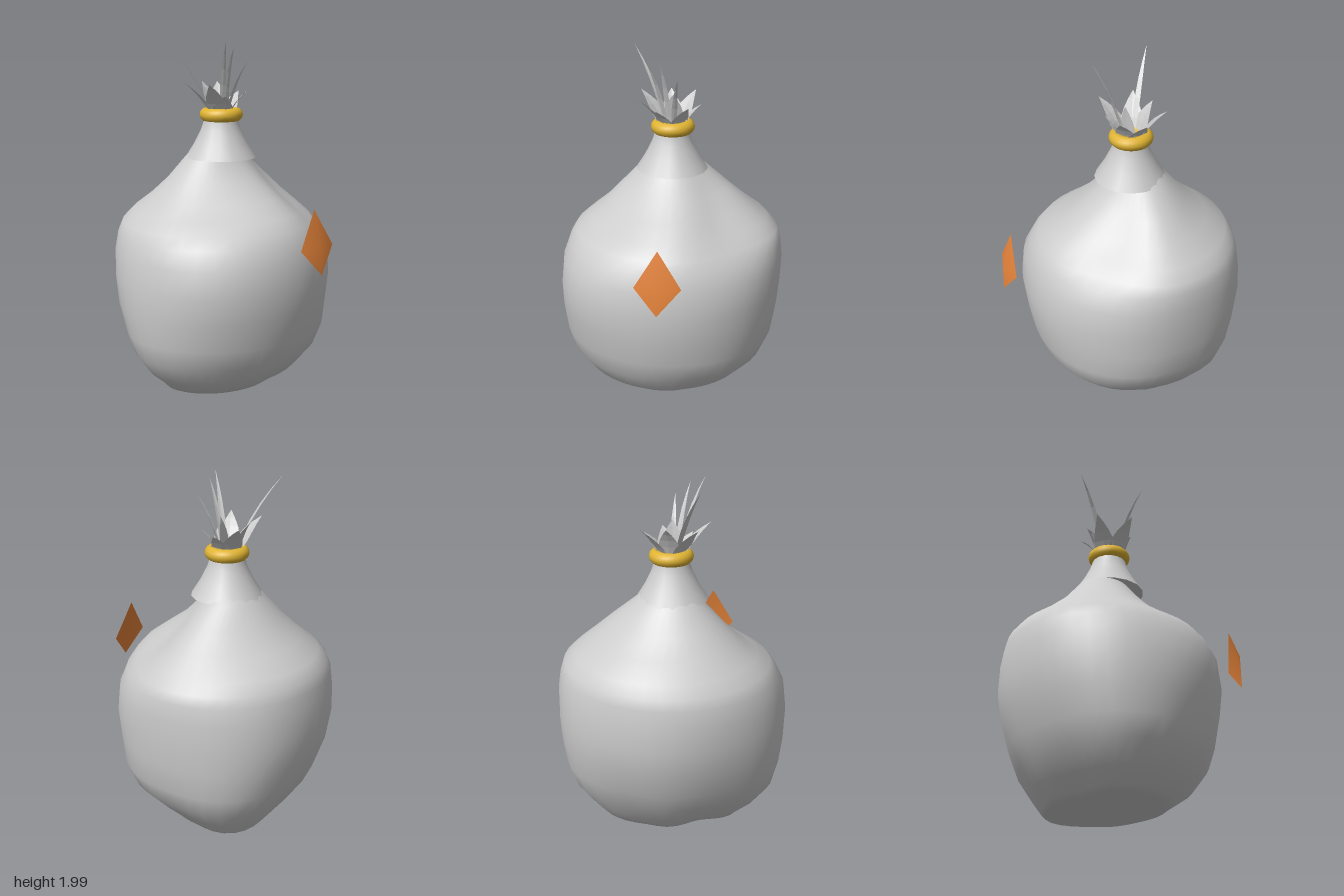
import * as THREE from 'three';

const mat = (name, color, side = THREE.FrontSide) => {
  const m = new THREE.MeshStandardMaterial({ color, side });
  m.name = name;
  return m;
};

export function createModel() {
  const group = new THREE.Group();
  const cloth = mat('grey cloth', 0xcccccc);
  const leafGrey = mat('grey leaf', 0xcccccc, THREE.DoubleSide);
  leafGrey.flatShading = true;
  const gold = mat('gold', 0xe0b433);
  const orange = mat('orange', 0xe5833a, THREE.DoubleSide);
  const axisZ = -0.08; // neck axis

  const add = (name, geometry, material, parent = group) => {
    const mesh = new THREE.Mesh(geometry, material);
    mesh.name = name;
    parent.add(mesh);
    return mesh;
  };
  const surface = (positions, index) => {
    const g = new THREE.BufferGeometry();
    g.setAttribute('position', new THREE.Float32BufferAttribute(positions, 3));
    g.setIndex(index);
    g.computeVertexNormals();
    return g;
  };

  // Lopsided sack: y, left x, right x, back z, front z, then the bulge
  // toward the diagonals (+x +z), (+x -z), (-x -z), (-x +z)
  const rings = [
    [0, -0.40, 0.35, -0.39, 0.23, -0.03, 0.08, -0.08, 0],
    [0.03, -0.43, 0.375, -0.415, 0.27, -0.02, 0.09, -0.07, 0],
    [0.10, -0.515, 0.44, -0.475, 0.375, 0, 0.09, -0.06, -0.01],
    [0.22, -0.605, 0.55, -0.56, 0.465, 0.01, 0.08, -0.05, -0.01],
    [0.34, -0.635, 0.605, -0.62, 0.505, 0.01, 0.06, -0.04, 0],
    [0.50, -0.655, 0.632, -0.675, 0.535, 0, 0.04, -0.03, 0.01],
    [0.65, -0.655, 0.645, -0.70, 0.55, 0, 0.03, -0.02, 0.025],
    [0.80, -0.64, 0.65, -0.695, 0.535, -0.01, 0.02, -0.01, 0.025],
    [0.90, -0.605, 0.638, -0.68, 0.50, -0.03, 0.01, 0, 0.01],
    [0.96, -0.57, 0.618, -0.665, 0.465, -0.06, 0, 0, 0],
    [1.02, -0.50, 0.555, -0.62, 0.41, -0.085, 0, 0, -0.03],
    [1.10, -0.405, 0.46, -0.51, 0.30, -0.085, -0.01, 0, -0.04],
    [1.20, -0.31, 0.345, -0.385, 0.16, -0.045, -0.01, 0, -0.02],
    [1.32, -0.195, 0.20, -0.285, 0.04, 0, 0, 0, 0],
    [1.42, -0.11, 0.11, -0.19, 0, 0, 0, 0, 0],
  ];
  const n = 40, pos = [], idx = [];
  for (const [y, x0, x1, z0, z1, ...bulge] of rings) {
    for (let j = 0; j < n; j++) {
      const a = (j / n) * Math.PI * 2, s = Math.sin(a), c = Math.cos(a);
      const d = bulge[Math.floor(j * 4 / n)] * Math.sin(2 * a) ** 2;
      pos.push((x0 + x1) / 2 + ((x1 - x0) / 2 + d) * s, y, (z0 + z1) / 2 + ((z1 - z0) / 2 + d) * c);
    }
  }
  for (let i = 0; i < rings.length - 1; i++) {
    for (let j = 0; j < n; j++) {
      const k = (j + 1) % n, a = i * n, b = a + n;
      idx.push(a + j, a + k, b + k, a + j, b + k, b + j);
    }
  }
  const bottom = rings.length * n, last = bottom - n;
  pos.push(-0.025, 0, -0.08, 0, 1.43, -0.095);
  for (let j = 0; j < n; j++) {
    const k = (j + 1) % n;
    idx.push(bottom, k, j, bottom + 1, last + j, last + k);
  }
  add('sackBody', surface(pos, idx), cloth);

  // Flared neck with its closing discs
  const neckProfile = [[0.205, 1.32], [0.155, 1.40], [0.115, 1.48], [0.099, 1.53], [0.092, 1.57]]
    .map(([r, y]) => new THREE.Vector2(r, y));
  add('neck', new THREE.LatheGeometry(neckProfile, 16), cloth).position.z = axisZ;
  const underside = add('neckUnderside', new THREE.CircleGeometry(0.205, 16), cloth);
  underside.rotation.x = Math.PI / 2;
  underside.position.set(0, 1.32, axisZ);
  const mouth = add('neckMouth', new THREE.CircleGeometry(0.095, 16), cloth);
  mouth.rotation.x = -Math.PI / 2;
  mouth.position.set(0, 1.545, axisZ);

  // Gold tie ring
  const ring = add('tieRing', new THREE.TorusGeometry(0.086, 0.039, 12, 32), gold);
  ring.rotation.x = Math.PI / 2;
  ring.position.set(0.003, 1.565, axisZ);

  // Bent, pointed leaves: tip x, y, z and width
  const tuft = new THREE.Group();
  tuft.name = 'leafTuft';
  group.add(tuft);
  const widths = [0.6, 0.9, 1, 0.78, 0.42, 0];
  const addLeaf = (name, x, y, z, width) => {
    const out = new THREE.Vector3(x, 0, z - axisZ);
    const reach = out.length();
    out.normalize();
    const at = (r, h) => new THREE.Vector3(0, h, axisZ).addScaledVector(out, r);
    const spine = new THREE.QuadraticBezierCurve3(
      at(Math.min(0.035, reach * 0.3), 1.54), at(reach * 0.45, 1.54 + (y - 1.54) * 0.6), at(reach, y));
    const side = new THREE.Vector3(out.z, 0, -out.x);
    const p = [], f = [];
    widths.forEach((w, i) => {
      const c = spine.getPoint(i / (widths.length - 1));
      for (const s of [-1, 0, 1]) {
        const v = c.clone().addScaledVector(side, s * w * width / 2);
        if (s === 0) v.addScaledVector(out, w * width * 0.06);
        p.push(v.x, v.y, v.z);
      }
      if (i) {
        const a = i * 3 - 3;
        for (const k of [a, a + 1]) f.push(k, k + 1, k + 4, k, k + 4, k + 3);
      }
    });
    add(name, surface(p, f), leafGrey, tuft);
  };
  [
    [-0.19, 1.75, 0.03], [-0.19, 1.75, -0.18], [-0.02, 1.75, -0.22], [0.12, 1.74, -0.24],
    [0.16, 1.69, -0.10], [0.10, 1.70, 0.03], [0.01, 1.76, -0.04], [-0.08, 1.68, 0.04],
  ].forEach(([x, y, z]) => addLeaf('broadLeaf', x, y, z, 0.12));
  [
    [-0.24, 1.985, -0.285], [-0.13, 1.985, 0.10], [-0.05, 1.955, 0.08], [0.045, 1.87, 0.09],
  ].forEach(([x, y, z]) => addLeaf('longBlade', x, y, z, 0.032));

  // Diamond patch hovering before the sack
  add('diamondPatch', surface(
    [0, 1.115, 0.645, -0.125, 0.91, 0.668, 0, 0.765, 0.708, 0.128, 0.91, 0.668, 0, 0.91, 0.699],
    [4, 0, 1, 4, 1, 2, 4, 2, 3, 4, 3, 0]), orange);

  return group;
}
